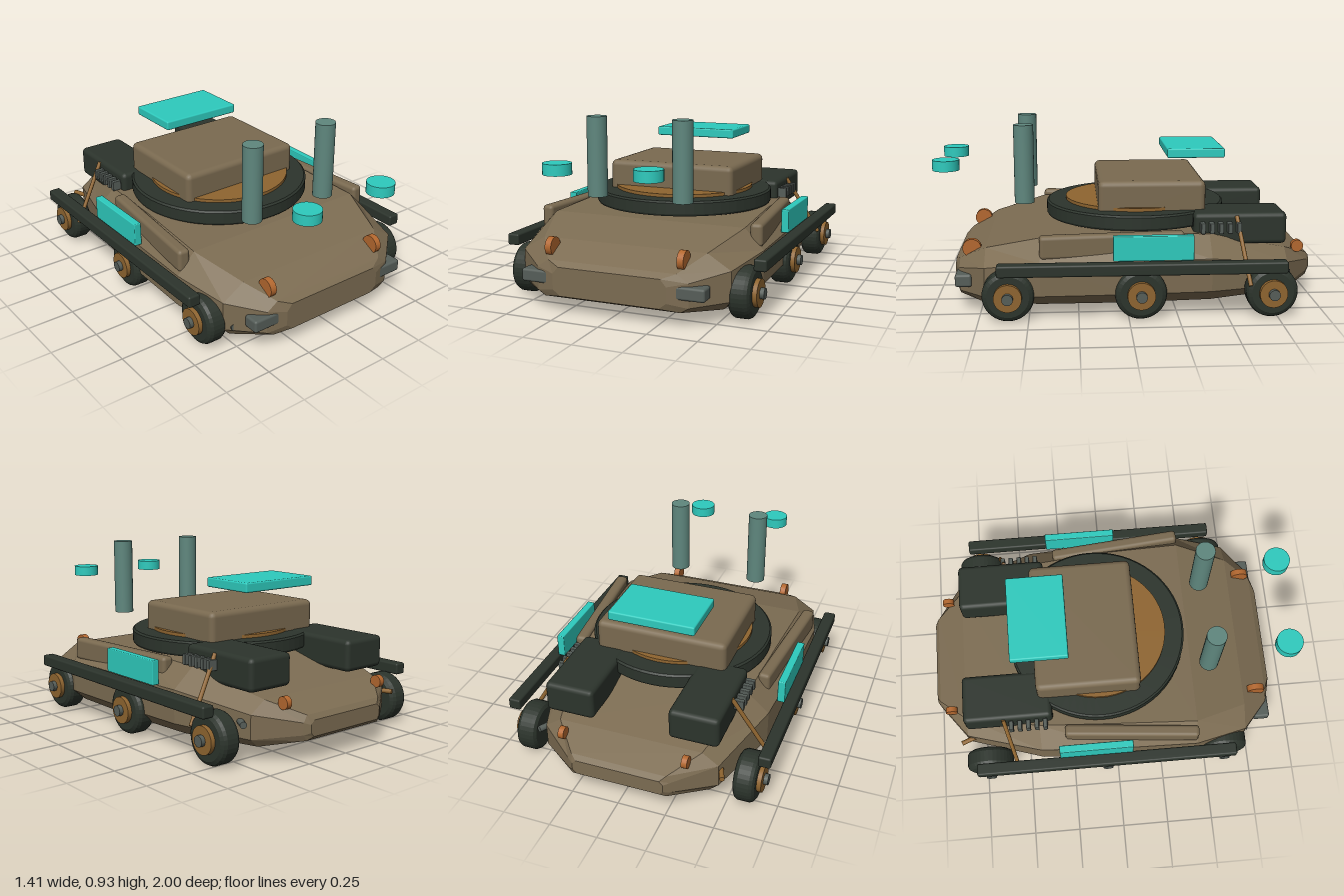
import * as THREE from 'three';
import { RoundedBoxGeometry } from 'three/addons/geometries/RoundedBoxGeometry.js';

const mat = (name, color, flatShading = false) => {
  const m = new THREE.MeshStandardMaterial({ color, flatShading });
  m.name = name;
  return m;
};

// Lofted hull: sections run front to back
// [z, bottom half width, side half width, deck half width, bottom y, lower side y, upper side y, deck y]
function hullGeometry() {
  const sections = [
    [0.89, 0.26, 0.30, 0.27, 0.09, 0.12, 0.20, 0.235],
    [0.86, 0.36, 0.40, 0.34, 0.075, 0.10, 0.22, 0.26],
    [0.72, 0.52, 0.56, 0.44, 0.07, 0.11, 0.26, 0.335],
    [0.44, 0.56, 0.63, 0.53, 0.07, 0.13, 0.30, 0.405],
    [0.0, 0.56, 0.62, 0.51, 0.07, 0.13, 0.30, 0.42],
    [-0.42, 0.53, 0.595, 0.48, 0.07, 0.13, 0.30, 0.40],
    [-0.83, 0.42, 0.465, 0.38, 0.08, 0.12, 0.24, 0.30],
    [-0.98, 0.25, 0.27, 0.25, 0.11, 0.14, 0.20, 0.235],
    [-1.0, 0.22, 0.24, 0.22, 0.13, 0.15, 0.19, 0.21],
  ];
  const positions = [], index = [];
  for (const [z, wb, wm, wt, yb, yl, yh, yt] of sections) {
    const half = [[wb, yb], [wm, yl], [wm, yh], [wt, yt]];
    for (const [x, y] of half) positions.push(x, y, z);
    for (const [x, y] of half.reverse()) positions.push(-x, y, z);
  }
  const n = 8, last = (sections.length - 1) * n;
  for (let i = 0; i < sections.length - 1; i++) {
    for (let j = 0; j < n; j++) {
      const a = i * n + j, b = i * n + (j + 1) % n, c = a + n, d = b + n;
      index.push(a, c, b, b, c, d);
    }
  }
  for (let j = 1; j < n - 1; j++) {
    index.push(0, j, j + 1, last, last + j + 1, last + j);
  }
  const g = new THREE.BufferGeometry();
  g.setAttribute('position', new THREE.Float32BufferAttribute(positions, 3));
  g.setIndex(index);
  const flat = g.toNonIndexed();
  flat.computeVertexNormals();
  return flat;
}

export function createModel() {
  const root = new THREE.Group();
  root.name = 'armouredVehicle';
  const tan = mat('tanArmour', 0x7c6c52, true);
  const tanSmooth = mat('tanPanel', 0x7a6a50);
  const dark = mat('darkGreen', 0x2c342c);
  const bronze = mat('bronze', 0x8f6530);
  const orange = mat('orangeLamp', 0xb4682f);
  const grey = mat('greyMetal', 0x565e59);
  const tealGrey = mat('tealGrey', 0x5f877e);
  const cyan = mat('cyan', 0x2ecbbe);

  const add = (name, geometry, material, x = 0, y = 0, z = 0, parent = root) => {
    const m = new THREE.Mesh(geometry, material);
    m.name = name;
    m.position.set(x, y, z);
    parent.add(m);
    return m;
  };
  const box = (w, h, d, r) => new RoundedBoxGeometry(w, h, d, 2, r);
  const disc = (r, h, seg = 32) => new THREE.CylinderGeometry(r, r, h, seg);
  const axle = (r, h, seg) => disc(r, h, seg).rotateZ(Math.PI / 2);
  const rod = (name, from, to, r, material) => {
    const a = new THREE.Vector3(...from), b = new THREE.Vector3(...to);
    const m = add(name, disc(r, a.distanceTo(b), 12), material);
    m.position.copy(a).add(b).multiplyScalar(0.5);
    m.quaternion.setFromUnitVectors(new THREE.Vector3(0, 1, 0), b.sub(a).normalize());
    return m;
  };

  add('hull', hullGeometry(), tan);

  // Turret ring, turntable and turret
  const ringProfile = [[0.375, 0.42], [0.48, 0.42], [0.485, 0.43], [0.485, 0.488],
    [0.475, 0.497], [0.375, 0.497], [0.375, 0.42]].map(([x, y]) => new THREE.Vector2(x, y));
  const ringGeo = new THREE.LatheGeometry(ringProfile, 64).toNonIndexed();
  ringGeo.computeVertexNormals();
  add('turretRing', ringGeo, dark, 0, 0, -0.07);
  add('turntable', disc(0.38, 0.1, 64), bronze, 0, 0.464, -0.07);
  add('turret', box(0.71, 0.24, 0.56, 0.03), tanSmooth, 0, 0.53, -0.137);
  add('roofPanel', box(0.46, 0.05, 0.305, 0.008), cyan, 0, 0.775, -0.38);

  // Wheel tyre with bevelled shoulders
  const tyre = new THREE.LatheGeometry([[0, -0.055], [0.105, -0.055], [0.122, -0.045], [0.13, -0.03],
    [0.13, 0.03], [0.122, 0.045], [0.105, 0.055], [0, 0.055]].map(([x, y]) => new THREE.Vector2(x, y)), 36)
    .rotateZ(Math.PI / 2).toNonIndexed();
  tyre.computeVertexNormals();

  for (const s of [1, -1]) {
    // Wheels
    for (const z of [0.6, -0.06, -0.72]) {
      const wheel = new THREE.Group();
      wheel.name = 'wheel';
      wheel.position.set(s * 0.59, 0.133, z);
      root.add(wheel);
      add('tyre', tyre, dark, 0, 0, 0, wheel);
      add('hub', axle(0.07, 0.06), bronze, s * 0.048, 0, 0, wheel);
      add('hubCap', axle(0.028, 0.06, 16), grey, s * 0.07, 0, 0, wheel);
    }

    // Side rails, beams and panels
    add('sideRail', box(0.065, 0.06, 1.43, 0.01), dark, s * 0.675, 0.28, -0.065);
    const beam = add('sideBeam', box(0.065, 0.12, 0.73, 0.02), tanSmooth, s * 0.555, 0.37, 0.08);
    beam.rotation.y = s * 0.09;
    add('sidePanel', box(0.04, 0.125, 0.4, 0.005), cyan, s * 0.63, 0.372, -0.12);

    // Rear engine boxes with vents and struts
    add('engineBox', box(0.26, 0.165, 0.48, 0.025), dark, s * 0.328, 0.418, -0.583);
    for (let i = 0; i < 5; i++) {
      add('vent', box(0.05, 0.055, 0.024, 0.004), grey, s * 0.482, 0.432, -0.385 - i * 0.046);
    }
    rod('strut', [s * 0.455, 0.485, -0.585 + s * 0.023], [s * 0.64, 0.17, -0.585 - s * 0.023], 0.011, bronze);

    // Lamps and bumpers
    add('headLamp', axle(0.048, 0.034, 24), orange, s * 0.35, 0.312, 0.797);
    add('tailLamp', axle(0.032, 0.03, 20), orange, s * 0.325, 0.292, -0.91);
    add('bumper', box(0.3, 0.065, 0.085, 0.012), grey, s * 0.335, 0.172, 0.834);

    // Floating posts and pads
    add('post', disc(0.052, 0.41), tealGrey, s * 0.235, 0.73, 0.526);
    add('pad', disc(0.07, 0.055), cyan, s * 0.235, 0.728, 0.93);
  }

  // Small pipes at the corners
  rod('frontPipe', [-0.5, 0.125, 0.68], [-0.515, 0.125, 0.755], 0.02, grey);
  rod('rearPipe', [0.47, 0.2, -0.76], [0.51, 0.2, -0.83], 0.017, grey);
  rod('rearPin', [-0.46, 0.2, -0.78], [-0.495, 0.2, -0.87], 0.013, bronze);

  return root;
}
